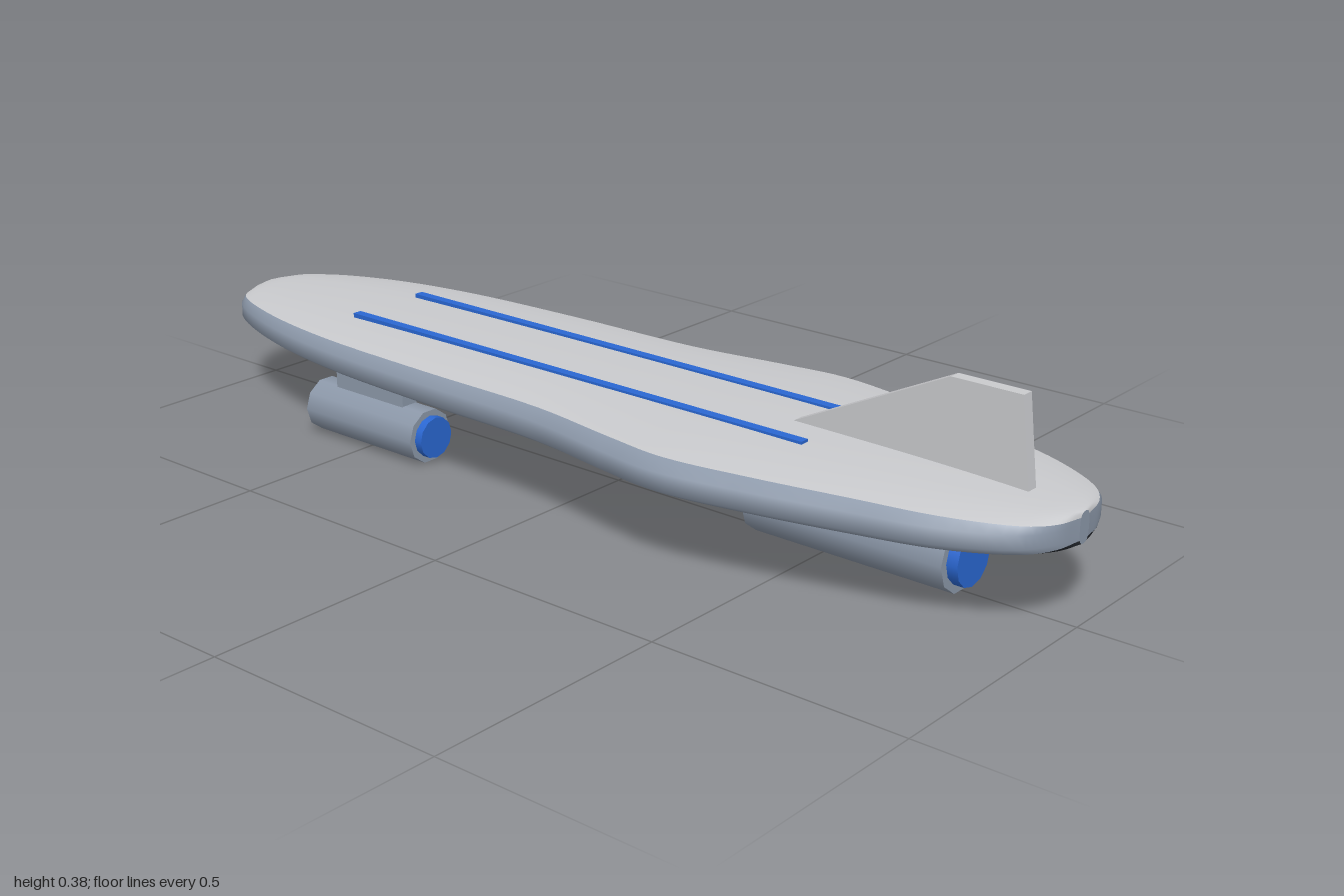
import * as THREE from 'three';

const mat = (name, color) => {
  const m = new THREE.MeshStandardMaterial({ color });
  m.name = name;
  return m;
};

// Board stations: [z, half width, thickness scale]
const STATIONS = [
  [-1, 0.015, 0.6], [-0.988, 0.075, 0.66], [-0.95, 0.125, 0.74], [-0.8, 0.188, 0.86], [-0.6, 0.228, 0.93],
  [-0.3, 0.247, 0.98], [0, 0.255, 1], [0.2, 0.288, 1], [0.33, 0.304, 1], [0.5, 0.277, 0.98],
  [0.68, 0.235, 0.94], [0.83, 0.195, 0.86], [0.95, 0.13, 0.74], [0.988, 0.075, 0.66], [1, 0.015, 0.6],
];
// Quarter of the cross-section, from the middle of the deck out to the side wall
const QUARTER = [[0, 1], [0.35, 0.97], [0.66, 0.89], [0.9, 0.69], [1, 0.35]];
const MID_Y = 0.184, HALF_THICK = 0.049;

export function createModel() {
  const group = new THREE.Group();
  const light = mat('light grey', 0xc9cacd);
  const steel = mat('steel grey', 0x8c98a9);
  const dark = mat('dark underside', 0x24282e);
  const blue = mat('blue', 0x2a67d2);

  const add = (name, geometry, material, x = 0, y = 0, z = 0) => {
    const mesh = new THREE.Mesh(geometry, material);
    mesh.name = name;
    mesh.position.set(x, y, z);
    group.add(mesh);
    return mesh;
  };

  // Section strips, counter-clockwise seen from the front
  const mirrorX = pts => pts.map(([u, v]) => [-u, v]);
  const turn = pts => pts.map(([u, v]) => [-u, -v]);
  const deck = [...QUARTER.slice(0, 4).reverse(), ...mirrorX(QUARTER.slice(1, 4))];
  const rim = [[0.9, -0.69], [1, -0.35], [1, 0.35], [0.9, 0.69]];

  const rows = new THREE.CatmullRomCurve3(
    STATIONS.map(([z, w, s]) => new THREE.Vector3(w, s, z))).getPoints(70);

  // Sweep one strip of the section along the board
  const loft = strip => {
    const pos = [], index = [], n = strip.length;
    for (const r of rows)
      for (const [u, v] of strip) pos.push(u * r.x, MID_Y + v * r.y * HALF_THICK, r.z);
    for (let j = 0; j < rows.length - 1; j++)
      for (let i = 0; i < n - 1; i++) {
        const a = j * n + i, b = a + n;
        index.push(a, a + 1, b + 1, a, b + 1, b);
      }
    const g = new THREE.BufferGeometry();
    g.setAttribute('position', new THREE.Float32BufferAttribute(pos, 3));
    g.setIndex(index);
    g.computeVertexNormals();
    return g;
  };

  add('deck', loft(deck), light);
  add('underside', loft(turn(deck)), dark);
  add('leftRim', loft(rim), steel);
  add('rightRim', loft(turn(rim)), steel);

  // Small flat caps close the two tips
  const ring = [...rim, ...deck.slice(1, -1), ...turn(rim), ...turn(deck).slice(1, -1)];
  const capShape = new THREE.Shape(ring.map(([u, v]) =>
    new THREE.Vector2(u * 0.015, v * 0.6 * HALF_THICK)));
  add('frontTip', new THREE.ShapeGeometry(capShape), steel, 0, MID_Y, 1);
  add('backTip', new THREE.ShapeGeometry(capShape), steel, 0, MID_Y, -1).rotation.y = Math.PI;

  // Upright fin: profile in (-z, y), extruded across x
  const finShape = new THREE.Shape([[-0.9, 0.222], [-0.42, 0.222], [-0.42, 0.232], [-0.74, 0.388], [-0.88, 0.388]]
    .map(([a, b]) => new THREE.Vector2(a, b)));
  const finGeo = new THREE.ExtrudeGeometry(finShape, { depth: 0.024, bevelEnabled: false });
  finGeo.translate(0, 0, -0.012).rotateY(Math.PI / 2);
  add('fin', finGeo, light);

  // Engine: ten-sided housing with a blue nozzle on its front end
  const barrel = (r, z0, z1, sides) =>
    new THREE.CylinderGeometry(r, r, z1 - z0, sides, 1, false, Math.PI / 2)
      .rotateX(Math.PI / 2).translate(0, 0, (z0 + z1) / 2);
  const engine = (name, x, y, r, glowR, z0, z1, tip) => {
    add(name + 'Housing', barrel(r, z0, z1, 10), steel, x, y);
    add(name + 'Nozzle', barrel(glowR, z1 - 0.02, tip, 12), blue, x, y);
  };
  engine('centreEngine', 0, 0.068, 0.068, 0.052, 0.35, 0.775, 0.797);

  for (const [side, s] of [['left', 1], ['right', -1]]) {
    engine(side + 'Engine', s * 0.163, 0.056, 0.055, 0.042, -0.65, -0.35, -0.333);
    add(side + 'Pylon', new THREE.BoxGeometry(0.038, 0.07, 0.19), steel, s * 0.163, 0.122, -0.5);
    add(side + 'Stripe', new THREE.BoxGeometry(0.019, 0.009, 1.13), blue, s * 0.088, 0.2315, -0.065);
  }

  return group;
}
